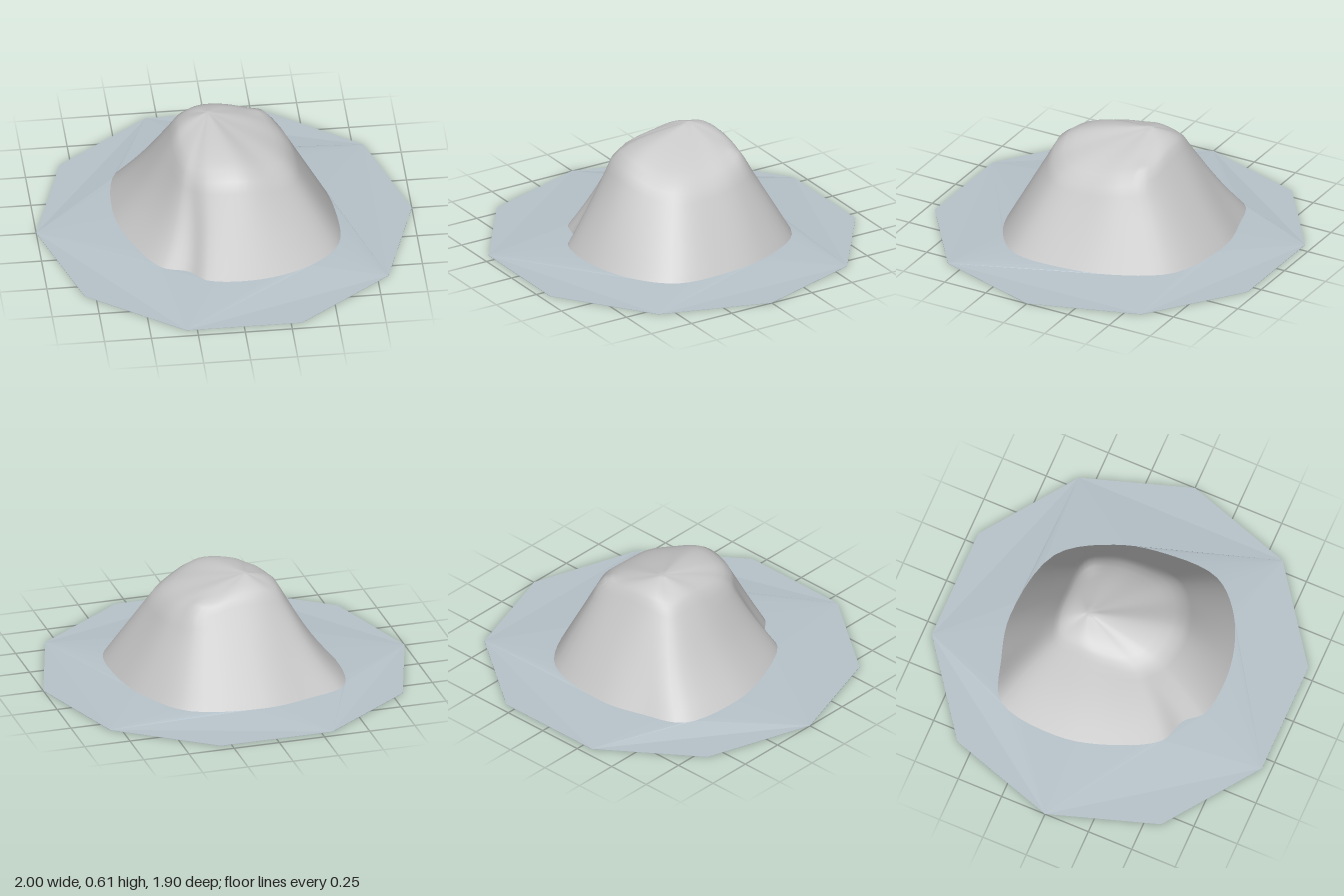
import * as THREE from 'three';

const COLS = 70, WALL_ROWS = 8, CROWN_ROWS = 9, BASE_Y = 0.025;

// Footprint of the boulder (x, z) and the shoulder where its walls turn into the crown (x, y, z)
const foot = [
  [0.59, 0], [0.575, 0.31], [0.41, 0.48], [0.14, 0.575], [-0.15, 0.555], [-0.24, 0.465], [-0.38, 0.41],
  [-0.52, 0.15], [-0.58, -0.12], [-0.52, -0.46], [-0.3, -0.555], [-0.05, -0.61], [0.35, -0.53], [0.53, -0.26],
];
const shoulder = [
  [0.36, 0.42, 0], [0.34, 0.42, 0.17], [0.24, 0.44, 0.27], [0.07, 0.49, 0.33], [-0.12, 0.48, 0.3],
  [-0.2, 0.46, 0.24], [-0.24, 0.46, 0.18], [-0.27, 0.47, 0.03], [-0.27, 0.49, -0.12], [-0.25, 0.47, -0.27],
  [-0.14, 0.5, -0.32], [0.03, 0.5, -0.33], [0.24, 0.45, -0.31], [0.33, 0.44, -0.18],
];
const peak = new THREE.Vector3(-0.07, 0.61, -0.15);

// Closed smooth loop sampled once per column
function loop(points) {
  const curve = new THREE.CatmullRomCurve3(points.map((p) => new THREE.Vector3(...p)), true);
  return Array.from({ length: COLS }, (_, i) => curve.getPoint(i / COLS));
}

function boulderGeometry(lower, upper) {
  const pos = [], index = [];
  const rows = WALL_ROWS + CROWN_ROWS;
  for (let r = 0; r < rows; r++) {
    for (let i = 0; i < COLS; i++) {
      const p = new THREE.Vector3();
      if (r <= WALL_ROWS) {
        // Walls, slightly hollow on the -x side
        const t = r / WALL_ROWS;
        p.lerpVectors(lower[i], upper[i], t);
        if (p.x < 0) p.x *= 1 - 0.05 * Math.sin(Math.PI * t);
      } else {
        // Rounded crown rising to the peak
        const t = (r - WALL_ROWS) / CROWN_ROWS;
        p.lerpVectors(upper[i], peak, t);
        p.y += 0.033 * Math.sin(Math.PI * Math.pow(t, 0.6));
      }
      // Small knob on the back shoulder
      const d2 = (p.x - 0.24) ** 2 + (p.z + 0.27) ** 2;
      p.y += 0.025 * Math.exp(-d2 / 0.003);
      pos.push(p.x, p.y, p.z);
    }
  }
  pos.push(peak.x, peak.y, peak.z);
  const tip = rows * COLS;
  for (let r = 0; r < rows; r++) {
    for (let i = 0; i < COLS; i++) {
      const a = r * COLS + i, b = r * COLS + (i + 1) % COLS;
      if (r === rows - 1) index.push(a, tip, b);
      else index.push(a, a + COLS, b, b, a + COLS, b + COLS);
    }
  }
  const g = new THREE.BufferGeometry();
  g.setAttribute('position', new THREE.Float32BufferAttribute(pos, 3));
  g.setIndex(index);
  g.computeVertexNormals();
  return g;
}

// Ten-sided plate with the boulder's footprint cut out, sloping down to a thin rim
function plateGeometry(outline) {
  const shape = new THREE.Shape(Array.from({ length: 10 }, (_, i) =>
    new THREE.Vector2(Math.cos(i * Math.PI / 5), Math.sin(i * Math.PI / 5))));
  shape.holes.push(new THREE.Path(outline.map((p) => new THREE.Vector2(p.x, -p.z))));
  const g = new THREE.ExtrudeGeometry(shape, { depth: BASE_Y, bevelEnabled: false });
  g.rotateX(-Math.PI / 2);
  const p = g.attributes.position;
  for (let i = 0; i < p.count; i++) {
    if (Math.hypot(p.getX(i), p.getZ(i)) > 0.9 && p.getY(i) > 0.01) p.setY(i, 0.002);
  }
  g.computeVertexNormals();
  return g;
}

export function createModel() {
  const group = new THREE.Group();
  const lower = loop(foot.map(([x, z]) => [x, BASE_Y, z]));
  const upper = loop(shoulder);
  const stone = new THREE.MeshStandardMaterial({ color: 0xcccccc });
  const ground = new THREE.MeshStandardMaterial({ color: 0xb8c4cb });

  const add = (name, geometry, material) => {
    const mesh = new THREE.Mesh(geometry, material);
    mesh.name = name;
    group.add(mesh);
    return mesh;
  };

  add('boulder', boulderGeometry(lower, upper), stone);
  add('plate', plateGeometry(lower), ground);

  // Underside closing the boulder inside the plate's cut-out
  const cap = new THREE.ShapeGeometry(new THREE.Shape(lower.map((p) => new THREE.Vector2(p.x, p.z))));
  cap.rotateX(Math.PI / 2);
  add('boulderUnderside', cap, stone).position.y = BASE_Y;

  return group;
}
